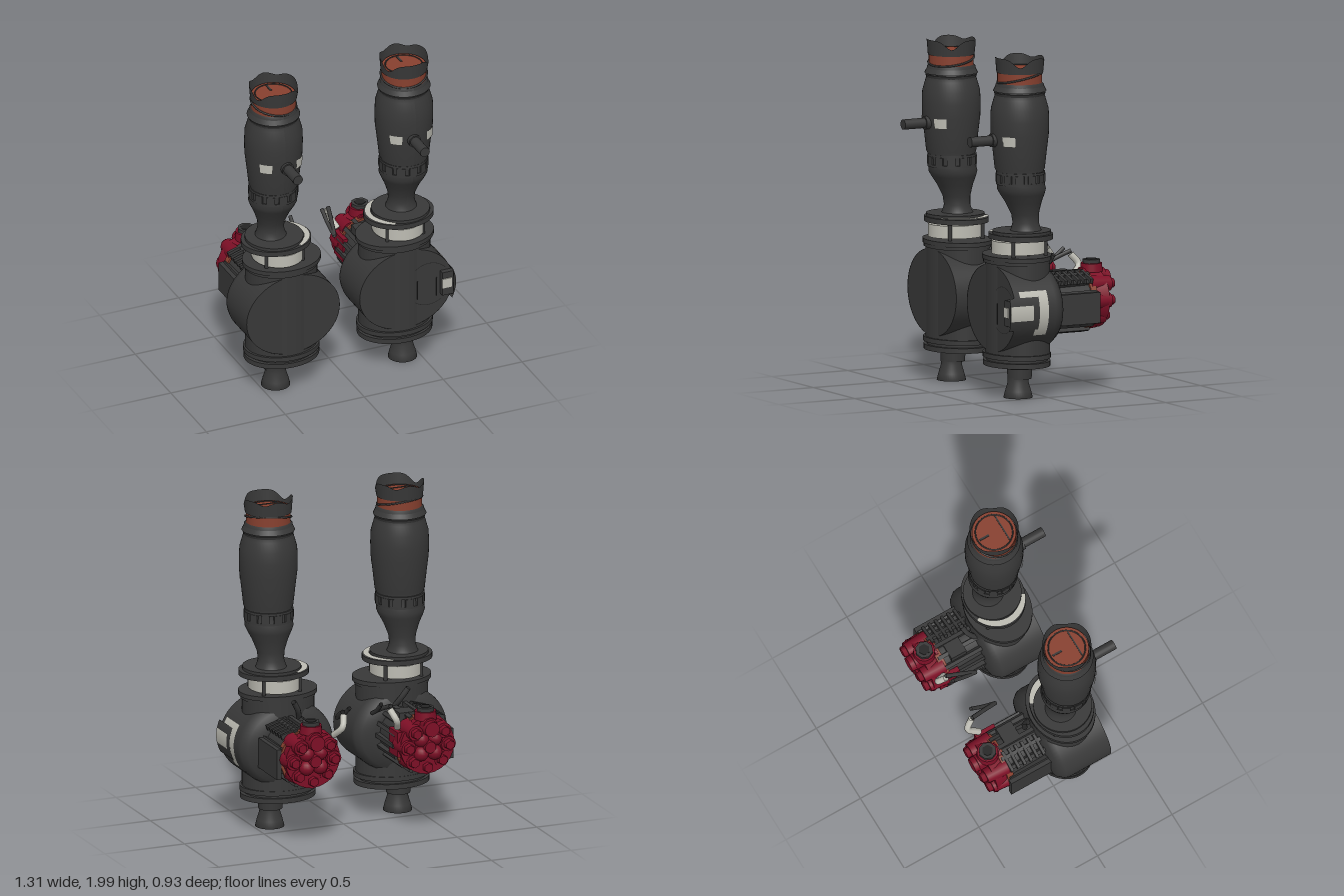
import * as THREE from 'three';

const mat = (name, color, side = THREE.FrontSide) => {
  const m = new THREE.MeshStandardMaterial({ color, side });
  m.name = name;
  return m;
};

// One unit; s = -1 or +1 is the side it stands on, x is measured outward from the middle
function createUnit(s, M) {
  const unit = new THREE.Group();
  unit.name = s < 0 ? 'rightUnit' : 'leftUnit';
  const add = (name, geo, m, x = 0, y = 0, z = 0, rx = 0, ry = 0, rz = 0) => {
    const mesh = new THREE.Mesh(geo, m);
    mesh.name = name;
    mesh.position.set(s * x, y, z);
    mesh.rotation.set(rx, ry * s, rz * s);
    unit.add(mesh);
    return mesh;
  };
  const cyl = (r1, r2, h, n = 32, open = false, t0 = 0, t = Math.PI * 2) =>
    new THREE.CylinderGeometry(r1, r2, h, n, 1, open, t0, t);
  const oval = (rx, rz, h) => cyl(1, 1, h, 48).scale(rx, 1, rz);
  const lathe = (pts, n = 40) => new THREE.LatheGeometry(pts.map(p => new THREE.Vector2(...p)), n);
  const tube = (name, pts, r, m) => add(name, new THREE.TubeGeometry(
    new THREE.CatmullRomCurve3(pts.map(([x, y, z]) => new THREE.Vector3(s * x, y, z))), 16, r, 8), m);
  const HX = 0.358, BX = 0.413, EX = 0.36, Q = Math.PI / 2;

  // Bottom nozzle
  add('nozzle', lathe([[0.07, 0.02], [0.085, 0.01], [0.075, 0.05], [0.06, 0.1], [0.062, 0.13]]), M.dark, 0.402, 0, 0.145);
  add('nozzleCollar', cyl(0.075, 0.07, 0.08), M.dark, 0.402, 0.16, 0.135);
  add('nozzleBase', cyl(0.09, 0.09, 0.02), M.dark, 0.402, 0.19, 0.135);

  // Oval core with paired flanges
  for (const [y, h, rx, rz] of [[0.21, 0.03, 0.225, 0.185], [0.232, 0.02, 0.2, 0.17], [0.256, 0.028, 0.228, 0.187],
    [0.805, 0.02, 0.222, 0.185], [0.828, 0.026, 0.235, 0.19]])
    add('flange', oval(rx, rz, h), M.dark, HX, y, 0.13);
  add('housingCore', oval(0.215, 0.18, 0.54), M.dark, HX, 0.535, 0.125);

  // Round drum facing forward, with a rounded back shoulder
  const drum = lathe([[0, -0.06], [0.6, -0.055], [0.88, -0.035], [0.98, 0], [1, 0.03], [1, 0.28]], 64)
    .rotateX(Q).scale(0.295, 0.255, 1);
  add('drum', drum, M.dark, HX, 0.535, 0);
  add('drumFace', new THREE.CircleGeometry(1, 64).scale(0.295, 0.255, 1), M.dark, HX, 0.535, 0.295);
  add('drumEdge', cyl(1, 1, 0.02, 64, true).rotateX(Q).scale(0.295, 0.255, 1), M.dark, HX, 0.535, 0.287);

  // Inlaid panel on the outer side of one drum only
  if (s > 0) {
    const patch = (a0, a1, z0, z1, m, k = 1.012) => {
      const g = cyl(1, 1, z1 - z0, 12, true, Q + a0, a1 - a0).rotateX(Q).scale(0.295 * k, 0.255 * k, 1);
      add('sidePanel', g, m, HX, 0.535, (z0 + z1) / 2);
    };
    patch(-0.56, 0.5, 0.08, 0.14, M.grey);
    patch(-0.56, -0.4, 0.1, 0.16, M.grey);
    patch(0.36, 0.5, 0.1, 0.26, M.grey);
    patch(-0.17, 0.17, 0.18, 0.33, M.grey, 1.02);
    patch(-0.4, 0.36, 0.14, 0.33, M.dark, 1.015);
    add('panelLip', new THREE.BoxGeometry(0.07, 0.15, 0.035), M.dark, 0.608, 0.535, 0.31);
    add('panelMark', new THREE.BoxGeometry(0.06, 0.06, 0.006), M.grey, 0.6, 0.54, 0.331);
    add('faceRing', new THREE.RingGeometry(0.134, 0.138, 40, 1, 0.7, 4.6), M.black, 0.5, 0.54, 0.298);
    for (const dx of [-0.06, 0.06]) add('faceSlot', new THREE.BoxGeometry(0.004, 0.12, 0.004), M.black, 0.49 + dx, 0.51, 0.297);
  }

  // Light coupling ring and plate above the housing
  add('couplingRing', oval(0.15, 0.165, 0.075), M.grey, 0.382, 0.89, 0.125);
  add('couplingCore', cyl(0.08, 0.08, 0.16), M.dark, 0.39, 0.88, 0.11);
  for (let i = 0; i < 4; i++) {
    const a = Math.PI / 4 + i * Q;
    add('couplingPost', cyl(0.012, 0.012, 0.12, 8), M.dark, 0.382 + 0.16 * Math.cos(a), 0.89, 0.12 + 0.15 * Math.sin(a));
  }
  add('couplingPlate', oval(0.208, 0.18, 0.03), M.dark, 0.388, 0.952, 0.12);
  add('couplingRim', oval(0.17, 0.17, 0.02), M.dark, 0.4, 0.975, 0.12);
  const crescent = new THREE.RingGeometry(0.165, 0.2, 32, 1, -1.1, 2.2).rotateX(-Q).rotateY(s > 0 ? Math.PI : 0);
  add('couplingCrescent', crescent.scale(1, 1, 0.9), M.grey, 0.388, 0.972, 0.12);

  // Grip: turned profile, its narrow neck set slightly back
  const grip = lathe([[0.1, 0.97], [0.088, 0.99], [0.076, 1.03], [0.08, 1.08], [0.105, 1.15], [0.13, 1.2], [0.142, 1.23],
    [0.138, 1.26], [0.136, 1.33], [0.145, 1.35], [0.156, 1.45], [0.168, 1.55], [0.17, 1.63], [0.167, 1.7],
    [0.15, 1.76], [0.14, 1.79], [0.14, 1.84], [0.12, 1.86]], 48);
  const p = grip.attributes.position;
  for (let i = 0; i < p.count; i++)
    p.setZ(i, p.getZ(i) - 0.04 * (1 - THREE.MathUtils.smoothstep(p.getY(i), 1, 1.35)));
  grip.computeVertexNormals();
  add('grip', grip, M.dark, BX, 0, 0.14);
  for (const y of [1.265, 1.325]) add('gripBand', cyl(0.143, 0.143, 0.014), M.dark, BX, y, 0.135);
  for (let i = 0; i < 12; i++) {
    const a = i * Math.PI / 6;
    add('gripBandBlock', new THREE.BoxGeometry(0.05, 0.045, 0.012), M.dark,
      BX + 0.138 * Math.sin(a), 1.295, 0.135 + 0.138 * Math.cos(a), 0, a);
  }
  add('gripCollar', cyl(0.137, 0.155, 0.035), M.dark, BX, 1.82, 0.14);
  add('gripCollarStep', cyl(0.15, 0.143, 0.02), M.dark, BX, 1.785, 0.14);

  // Front peg and the two light patches beside it
  add('peg', cyl(0.03, 0.03, 0.17, 20), M.dark, 0.402, 1.52, 0.378, Q);
  add('pegBase', cyl(0.038, 0.038, 0.04, 20), M.dark, 0.402, 1.52, 0.305, Q);
  for (const a of [-0.92, 0.46])
    add('gripPatch', cyl(0.172, 0.17, 0.058, 8, true, a, 0.46), M.grey, BX, 1.52, 0.14);

  // Coloured band, cord and open wavy mouth
  add('redBand', cyl(0.13, 0.13, 0.075, 40), M.rust, BX, 1.88, 0.14);
  add('bandCord', new THREE.TorusGeometry(0.134, 0.006, 6, 40), M.dark, BX, 1.88, 0.14, Q + 0.2, 0.1);
  const mouth = cyl(0.142, 0.135, 0.09, 64, true);
  const q = mouth.attributes.position;
  for (let i = 0; i < q.count; i++) {
    if (q.getY(i) < 0) continue;
    const a = Math.atan2(Math.abs(q.getX(i)), q.getZ(i));
    q.setY(i, 0.045 - 0.05 * Math.exp(-(((a - 1.1) / 0.35) ** 2)) - 0.02 * Math.exp(-(((a - 2.6) / 0.3) ** 2)));
  }
  add('mouth', mouth, M.dark, BX, 1.955, 0.14);
  add('mouthFloor', cyl(0.128, 0.128, 0.02, 40), M.rust, BX, 1.925, 0.14);
  add('mouthRing', new THREE.TorusGeometry(0.108, 0.004, 6, 40), M.dark, BX, 1.936, 0.14, Q);
  add('mouthLine', new THREE.BoxGeometry(0.17, 0.006, 0.008), M.dark, BX, 1.936, 0.195);
  add('mouthMark', new THREE.BoxGeometry(0.012, 0.006, 0.06), M.dark, BX, 1.936, 0.075);

  // Rear motor with cooling ribs
  add('motor', cyl(0.155, 0.165, 0.28, 24), M.dark, EX, 0.54, -0.17, Q);
  add('motorNeck', cyl(0.13, 0.13, 0.1, 24), M.dark, EX, 0.54, -0.03, Q);
  for (let i = 0; i < 16; i++) {
    const a = i * Math.PI / 8;
    add('motorRib', new THREE.BoxGeometry(0.035, 0.024, 0.26), M.dark,
      EX + 0.165 * Math.cos(a), 0.54 + 0.165 * Math.sin(a), -0.175, 0, 0, a);
  }
  for (let i = 0; i < 6; i++)
    add('topFin', new THREE.BoxGeometry(0.13, 0.03, 0.018), M.dark, EX + 0.09, 0.69, -0.07 - i * 0.042, 0, 0, -0.3);
  add('sidePlate', new THREE.BoxGeometry(0.03, 0.18, 0.31), M.dark, 0.54, 0.52, -0.16);
  add('topBlock', new THREE.BoxGeometry(0.1, 0.05, 0.1), M.dark, EX - 0.06, 0.69, -0.19);
  tube('topLever', [[0.3, 0.7, -0.05], [0.325, 0.76, -0.09], [0.36, 0.82, -0.11]], 0.016, M.dark);

  // Red rear head: a cluster of lobes, longer toward the top
  add('headRing', cyl(0.172, 0.172, 0.04, 24), M.rust, EX, 0.545, -0.295, Q);
  add('headBase', cyl(0.155, 0.17, 0.09, 24), M.red, EX, 0.55, -0.345, Q);
  for (let i = 0; i < 8; i++) {
    const a = Q + i * Math.PI / 4, up = Math.sin(a), len = 0.12 + 0.025 * up;
    const x = EX + 0.125 * Math.cos(a), y = 0.55 + 0.13 * up;
    add('headLobe', cyl(0.045, 0.055, len, 12), M.red, x, y, -0.29 - len / 2, -Q);
    add('headLobeCap', cyl(0.028, 0.034, 0.035, 6), M.red, x, y, -0.29 - len - 0.01, -Q);
  }
  for (let i = 0; i < 4; i++) {
    const a = Math.PI / 4 + i * Q;
    add('headInnerLobe', new THREE.SphereGeometry(0.045, 14, 10), M.red, EX + 0.06 * Math.cos(a), 0.55 + 0.06 * Math.sin(a), -0.395);
  }
  add('headCentre', cyl(0.035, 0.045, 0.06, 10), M.red, EX, 0.55, -0.41, -Q);
  add('headTopBump', cyl(0.045, 0.058, 0.18, 16), M.red, EX, 0.665, -0.375, -Q);
  add('headInnerStrip', new THREE.BoxGeometry(0.03, 0.15, 0.13), M.red, 0.205, 0.56, -0.285);
  add('knobBase', cyl(0.062, 0.066, 0.05, 20), M.red, EX, 0.73, -0.36);
  add('knob', cyl(0.052, 0.052, 0.03, 8), M.dark, EX, 0.762, -0.36);
  add('knobCap', cyl(0.034, 0.034, 0.008, 6), M.black, EX, 0.776, -0.36);

  // Inner brake-style handle on a light bracket
  tube('handleBracket', [[0.2, 0.66, -0.32], [0.17, 0.72, -0.38], [0.145, 0.78, -0.34]], 0.02, M.grey);
  tube('handleLever', [[0.15, 0.8, -0.34], [0.13, 0.76, -0.25], [0.11, 0.71, -0.16]], 0.013, M.dark);
  tube('handleReturn', [[0.11, 0.71, -0.16], [0.105, 0.75, -0.24], [0.1, 0.81, -0.32]], 0.012, M.dark);
  return unit;
}

export function createModel() {
  const M = {
    dark: mat('charcoal', 0x383838, THREE.DoubleSide),
    black: mat('nearBlack', 0x242424),
    grey: mat('lightGrey', 0xbdbcb3, THREE.DoubleSide),
    red: mat('crimson', 0x7d0f26),
    rust: mat('rustRed', 0x87402f),
  };
  const model = new THREE.Group();
  model.name = 'pairedControlColumns';
  for (const s of [-1, 1]) model.add(createUnit(s, M));
  return model;
}
